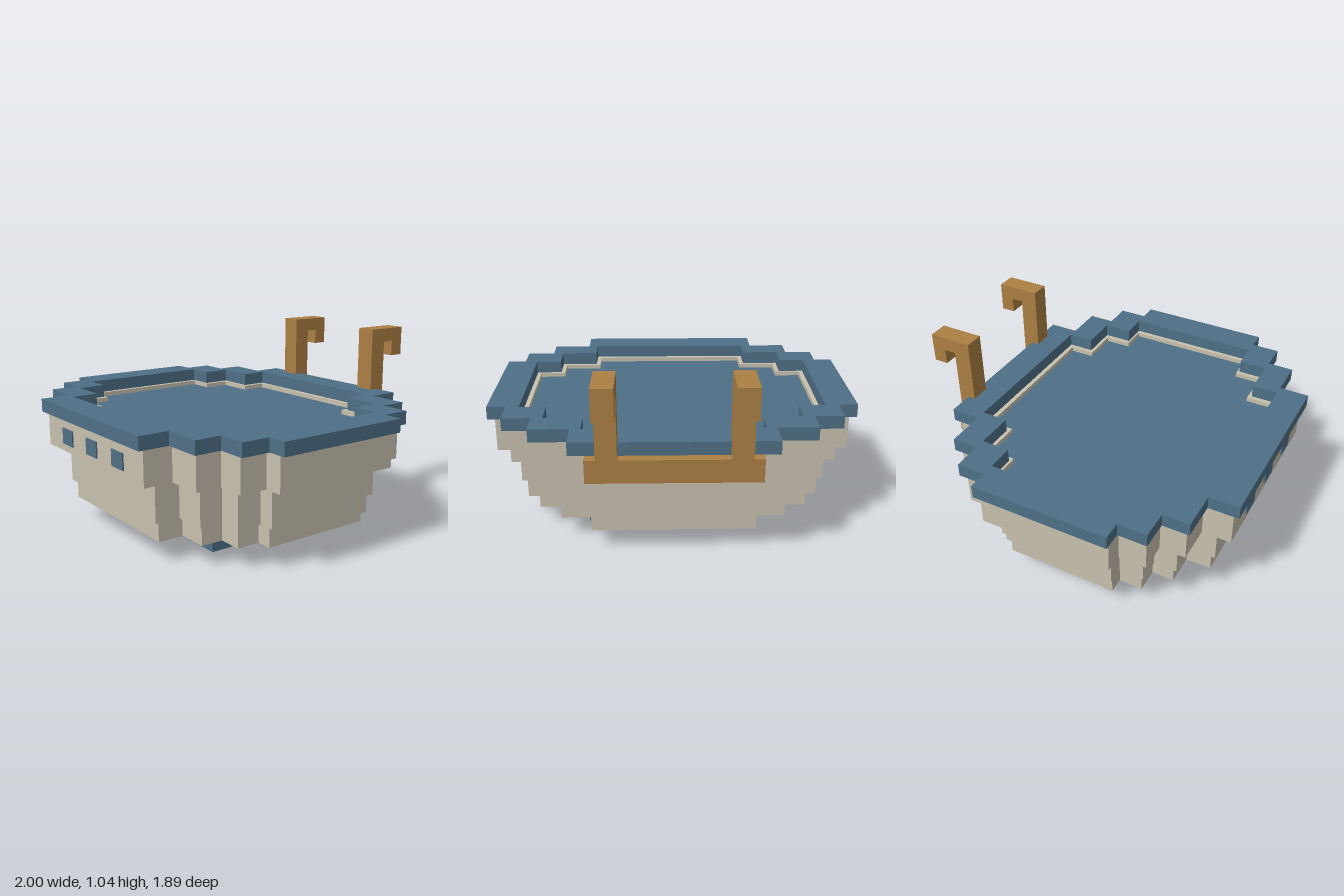
import * as THREE from 'three';

const CZ = 0.1; // the tub sits slightly forward of the hooks

// Stepped outline from [half x, half z] pairs, narrowest x first
function outline(steps) {
  const quarter = [];
  steps.forEach(([x, z], i) => {
    if (i > 0) quarter.push([steps[i - 1][0], z]);
    quarter.push([x, z]);
  });
  const back = [...quarter].reverse();
  return [
    ...back,
    ...quarter.map(([x, z]) => [-x, z]),
    ...back.map(([x, z]) => [-x, -z]),
    ...quarter.map(([x, z]) => [x, -z]),
  ].map(([x, z]) => new THREE.Vector2(x, z));
}

// Horizontal slab between two heights, optionally with a stepped opening
function slab(name, material, steps, y0, y1, hole) {
  const shape = new THREE.Shape(outline(steps));
  if (hole) shape.holes.push(new THREE.Path(outline(hole)));
  const geo = new THREE.ExtrudeGeometry(shape, { depth: y1 - y0, bevelEnabled: false });
  geo.rotateX(-Math.PI / 2).translate(0, y0, CZ);
  const mesh = new THREE.Mesh(geo, material);
  mesh.name = name;
  return mesh;
}

function box(name, material, x0, x1, y0, y1, z0, z1) {
  const geo = new THREE.BoxGeometry(x1 - x0, y1 - y0, z1 - z0);
  geo.translate((x0 + x1) / 2, (y0 + y1) / 2, (z0 + z1) / 2);
  const mesh = new THREE.Mesh(geo, material);
  mesh.name = name;
  return mesh;
}

export function createModel() {
  const beige = new THREE.MeshStandardMaterial({ color: 0xc8c1af });
  const blue = new THREE.MeshStandardMaterial({ color: 0x4f7086 });
  const brown = new THREE.MeshStandardMaterial({ color: 0xab8044 });
  beige.name = 'beige';
  blue.name = 'blue';
  brown.name = 'brown';

  const model = new THREE.Group();
  model.name = 'steppedTub';

  // Foot and the three widening tiers
  const rimOpening = [[0.47, 0.68], [0.68, 0.535], [0.825, 0.378]];
  const basin = [[0.445, 0.655], [0.655, 0.515], [0.8, 0.365]];
  model.add(
    box('foot', blue, -0.468, 0.468, 0, 0.116, -0.29, 0.495),
    slab('lowerTier', beige, [[0.435, 0.693], [0.605, 0.555], [0.735, 0.435], [0.818, 0.308]], 0.116, 0.22),
    slab('middleTier', beige, [[0.45, 0.718], [0.63, 0.58], [0.76, 0.453], [0.847, 0.318]], 0.22, 0.432),
    slab('upperTier', beige, [[0.51, 0.813], [0.71, 0.655], [0.86, 0.515], [0.96, 0.365]], 0.432, 0.62, basin),
    slab('filling', blue, basin, 0.435, 0.595),
    slab('rim', blue, [[0.525, 0.845], [0.74, 0.68], [0.897, 0.535], [1, 0.378]], 0.62, 0.692, rimOpening),
  );

  // Front windows
  for (const x of [-0.27, 0, 0.27]) {
    model.add(box('window', blue, x - 0.056, x + 0.056, 0.475, 0.562, 0.913, 0.921));
  }

  // Back beam carrying two hooks
  model.add(box('beam', brown, -0.443, 0.443, 0.485, 0.61, -0.778, -0.705));
  const profile = [[0.702, 0.608], [0.8, 0.608], [0.8, 0.965], [0.866, 0.965],
    [0.866, 0.88], [0.945, 0.88], [0.945, 1.043], [0.702, 1.043]];
  for (const side of [-1, 1]) {
    const shape = new THREE.Shape(profile.map(([d, y]) => new THREE.Vector2(d, y)));
    const geo = new THREE.ExtrudeGeometry(shape, { depth: 0.108, bevelEnabled: false });
    geo.translate(0, 0, -0.054).rotateY(Math.PI / 2).translate(side * 0.332, 0, 0);
    const hook = new THREE.Mesh(geo, brown);
    hook.name = side > 0 ? 'leftHook' : 'rightHook';
    model.add(hook);
  }
  return model;
}
